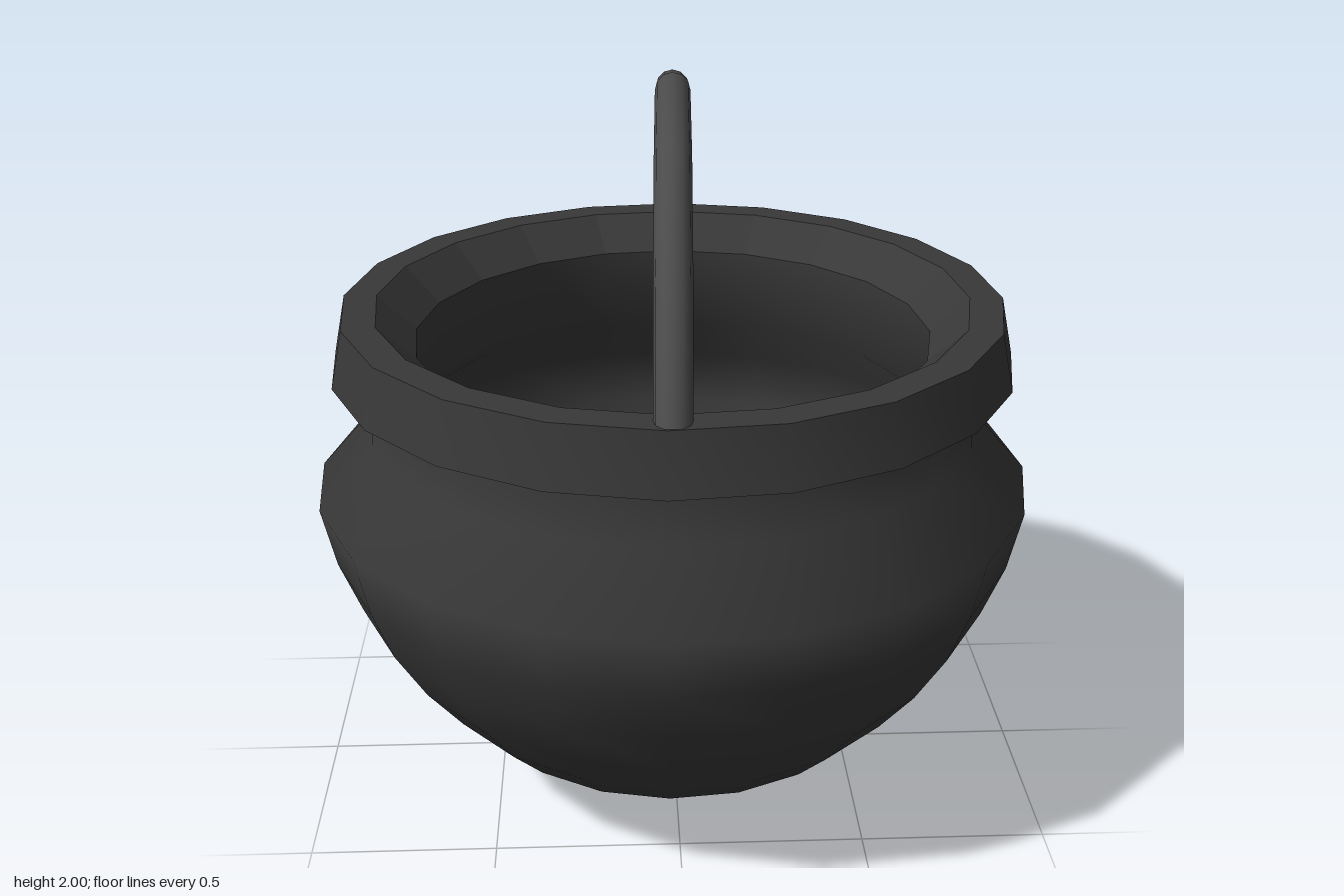
import * as THREE from 'three';
import { toCreasedNormals } from 'three/addons/utils/BufferGeometryUtils.js';

const SIDES = 20;
const TURN = THREE.MathUtils.degToRad(-3);

// Straight-sided path whose tangents bisect the corners
class Polyline extends THREE.Curve {
  constructor(points) {
    super();
    this.points = points;
  }
  getPoint(t, target = new THREE.Vector3()) {
    const last = this.points.length - 1;
    const i = Math.min(Math.floor(t * last), last - 1);
    return target.lerpVectors(this.points[i], this.points[i + 1], t * last - i);
  }
  getPointAt(u, target) { return this.getPoint(u, target); }
  getTangentAt(u, target) { return this.getTangent(u, target); }
}

function lathe(profile) {
  const points = profile.map(([r, y]) => new THREE.Vector2(r, y));
  return new THREE.LatheGeometry(points, SIDES, TURN);
}

export function createModel() {
  const model = new THREE.Group();
  const iron = new THREE.MeshStandardMaterial({ color: 0x383838, side: THREE.DoubleSide });
  const flatIron = iron.clone();
  flatIron.flatShading = true;
  const handleIron = new THREE.MeshStandardMaterial({ color: 0x4b4b4b });

  const add = (name, geometry, material) => {
    const mesh = new THREE.Mesh(geometry, material);
    mesh.name = name;
    model.add(mesh);
    return mesh;
  };

  // Round belly and neck
  const bowl = [
    [0, 0], [0.16, 0.015], [0.305, 0.055], [0.457, 0.125], [0.587, 0.21], [0.695, 0.32],
    [0.795, 0.45], [0.88, 0.595], [0.937, 0.745], [0.972, 0.91],
  ];
  const body = add('potBody', lathe([...bowl, [0.82, 1.08], [0.812, 1.26]]), iron);
  body.scale.z = 0.99;

  // Hollow inside, following the belly at a constant wall thickness
  const hollow = bowl.map(([r, y]) => [r * 0.88, 0.91 + (y - 0.91) * 0.88]).reverse();
  add('potInterior', lathe([[0.69, 1.31], [0.69, 1.08], ...hollow]), iron);

  // Flared rim band with a flat top
  const rim = lathe([[0.8, 1.25], [0.912, 1.25], [0.878, 1.405], [0.79, 1.405]]);
  add('rim', toCreasedNormals(rim, 0.5), iron);

  // Faceted slope from the rim down into the mouth
  add('innerLip', lathe([[0.79, 1.405], [0.69, 1.31]]), flatIron);

  // Arched carrying handle
  const half = [[0.835, 1.385], [0.67, 1.68], [0.375, 1.885]];
  const arch = [...half, [0, 1.957], ...half.map(([z, y]) => [-z, y]).reverse()];
  const path = new Polyline(arch.map(([z, y]) => new THREE.Vector3(0, y, z)));
  const handle = add('handle', new THREE.TubeGeometry(path, arch.length - 1, 0.045, 12), handleIron);
  handle.rotation.y = THREE.MathUtils.degToRad(-2.2);

  return model;
}
